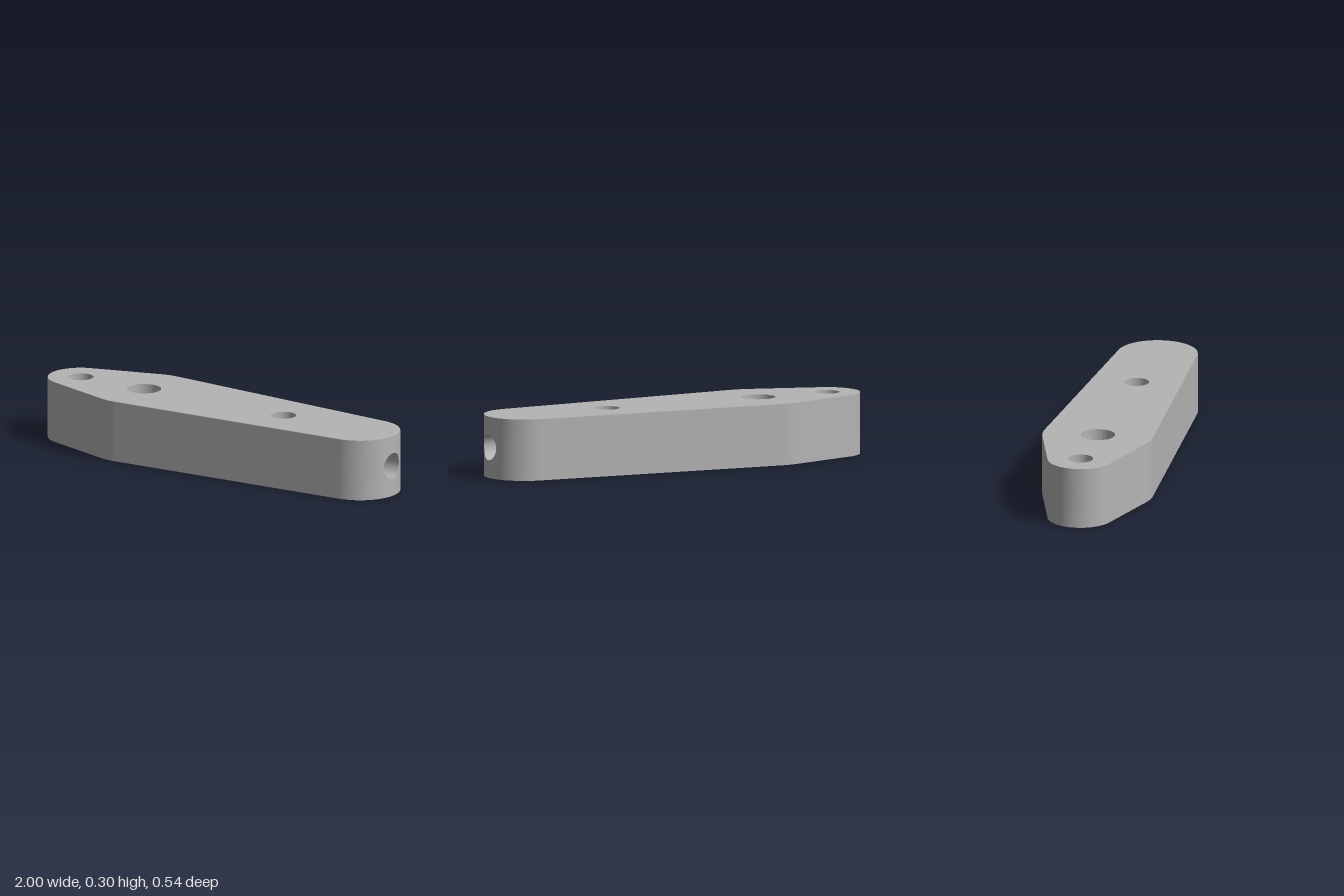
import * as THREE from 'three';

const H = 0.3, MID = 0.15;                       // plate height, bore axis height
const RIGHT = { x: 0.805, r: 0.195 }, WIDE = { x: -0.467, r: 0.27 }, LEFT = { x: -0.84, r: 0.16 };
const HOLES = [{ x: -0.839, r: 0.061 }, { x: -0.467, r: 0.083 }];
const PORT = { x: 0.355, r: 0.061 };             // vertical hole meeting the bore
const BORE_R = 0.064, BORE_END = 0.29;

// Points [x, z] on an arc, counter-clockwise seen from above
function arc(c, from, to, n) {
  return Array.from({ length: n + 1 }, (_, i) => {
    const t = from + (to - from) * i / n;
    return [c.x + c.r * Math.cos(t), -c.r * Math.sin(t)];
  });
}

// Smooth surface ruled between two matching rows of points
function ruled(a, b) {
  const n = a.length, index = [];
  for (let i = 0; i < n - 1; i++) index.push(i, i + 1, n + i + 1, i, n + i + 1, n + i);
  const g = new THREE.BufferGeometry();
  g.setAttribute('position', new THREE.Float32BufferAttribute([...a, ...b].flat(), 3));
  g.setIndex(index);
  g.computeVertexNormals();
  return g;
}

const half = (r, z) => Math.sqrt(Math.max(0, r * r - z * z));

export function createModel() {
  const group = new THREE.Group();
  const metal = new THREE.MeshStandardMaterial({ color: 0xb4b4b4 });
  const add = (name, geometry) => {
    const mesh = new THREE.Mesh(geometry, metal);
    mesh.name = name;
    group.add(mesh);
    return mesh;
  };
  const wall = (name, pts, low, high) =>
    add(name, ruled(pts.map(([x, z]) => [x, low(z), z]), pts.map(([x, z]) => [x, high(z), z])));

  // Outline: three circles joined by tangent lines
  const alpha = Math.acos((WIDE.r - RIGHT.r) / (RIGHT.x - WIDE.x));
  const beta = Math.acos((LEFT.r - WIDE.r) / (WIDE.x - LEFT.x));
  const mouth = Math.asin(BORE_R / RIGHT.r), full = Math.PI * 2;
  const side = [
    ...arc(RIGHT, mouth, alpha, 16), ...arc(WIDE, alpha, beta, 6),
    ...arc(LEFT, beta, full - beta, 36), ...arc(WIDE, full - beta, full - alpha, 6),
    ...arc(RIGHT, -alpha, -mouth, 16),
  ];

  // Bore cross-section samples, front to back
  const zs = Array.from({ length: 49 }, (_, i) => BORE_R * Math.cos(Math.PI * i / 48));
  const outX = z => RIGHT.x + half(RIGHT.r, z);
  const boreTop = z => MID + half(BORE_R, z), boreBottom = z => MID - half(BORE_R, z);
  const end = zs.map(z => [outX(z), z]);

  // Outer walls, with the round end split around the bore mouth
  wall('sideWall', side, () => 0, () => H);
  wall('endWallBelowBore', end, () => 0, boreBottom);
  wall('endWallAboveBore', end, boreTop, () => H);

  // Top and bottom faces
  const toVec = ([x, z]) => new THREE.Vector2(x, -z);
  const face = (name, holes, turn, y) => {
    const shape = new THREE.Shape([...side, ...end.slice(1, -1)].map(toVec));
    shape.holes = holes.map(h => new THREE.Path(arc(h, full, 0, 48).slice(0, -1).map(toVec)));
    add(name, new THREE.ShapeGeometry(shape).rotateX(turn).translate(0, y, 0));
  };
  face('topFace', [...HOLES, PORT], -Math.PI / 2, H);
  face('bottomFace', HOLES, Math.PI / 2, 0);

  // Through holes and the vertical port
  HOLES.forEach(h => wall('throughHole', arc(h, full, 0, 48), () => 0, () => H));
  wall('portHole', arc(PORT, full, 0, 48), boreTop, () => H);

  // Bore: whole lower half, upper half open where the port enters
  const strip = (name, yOf, xa, xb) =>
    add(name, ruled(zs.map(z => [xa(z), yOf(z), z]), zs.map(z => [xb(z), yOf(z), z])));
  strip('boreFloor', boreBottom, outX, () => BORE_END);
  strip('boreRoof', boreTop, z => PORT.x + half(PORT.r, z), outX);
  strip('boreRoofInner', boreTop, () => BORE_END, z => PORT.x - half(PORT.r, z));
  add('boreEnd', new THREE.CircleGeometry(BORE_R, 48).rotateY(Math.PI / 2)).position.set(BORE_END, MID, 0);

  return group;
}
